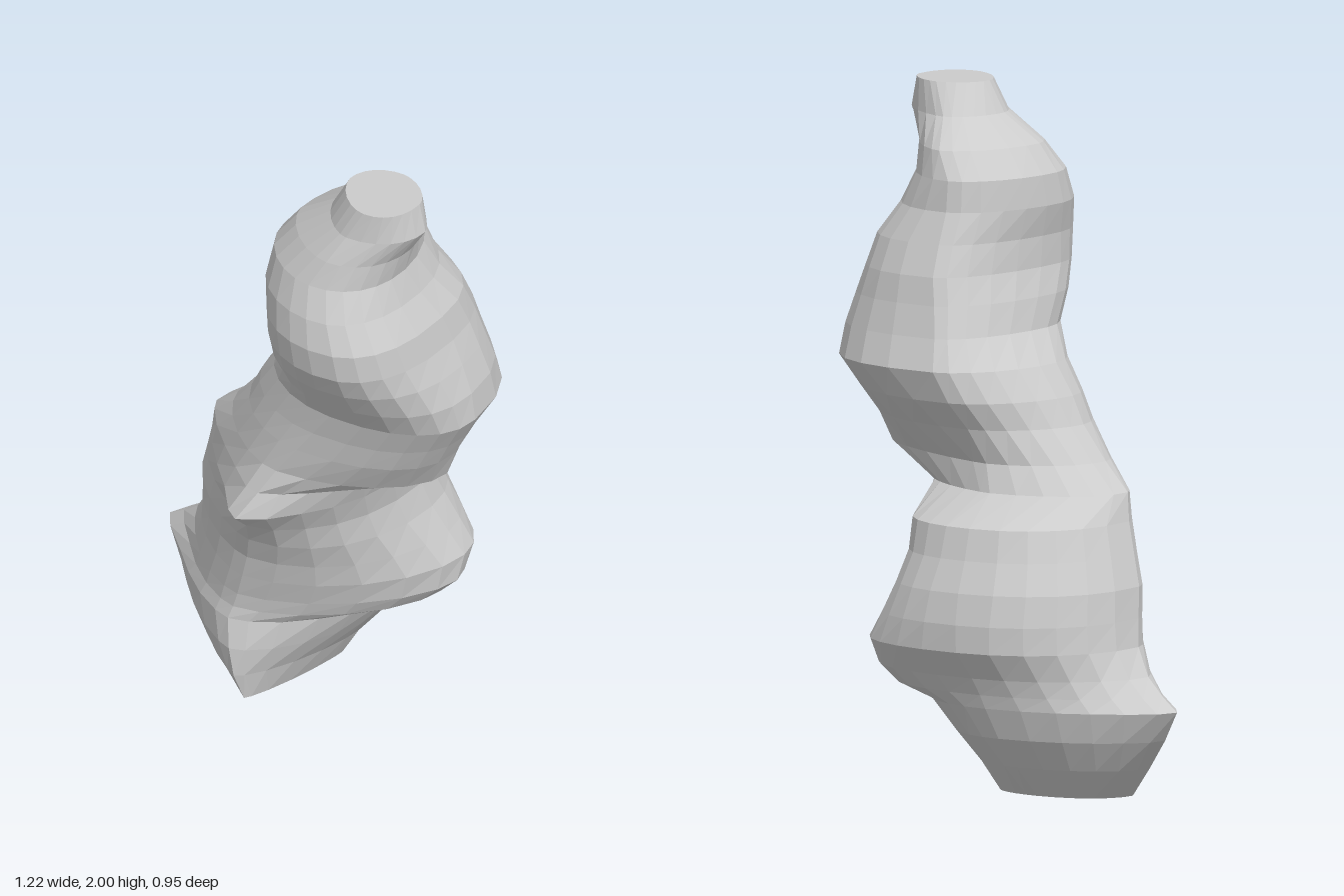
import * as THREE from 'three';

// Outline by height: y, xMin, xMax, zMin, zMax
const SPANS = [
  [0, -0.41, -0.02, -0.23, 0.18], [0.09, -0.48, 0.03, -0.30, 0.21],
  [0.18, -0.52, 0.10, -0.36, 0.21], [0.27, -0.54, 0.17, -0.39, 0.19],
  [0.31, -0.50, 0.29, -0.40, 0.18], [0.36, -0.47, 0.34, -0.42, 0.18],
  [0.44, -0.44, 0.35, -0.47, 0.19], [0.52, -0.43, 0.31, -0.47, 0.20],
  [0.61, -0.42, 0.27, -0.45, 0.23], [0.70, -0.39, 0.25, -0.41, 0.26],
  [0.79, -0.36, 0.26, -0.38, 0.31], [0.87, -0.34, 0.28, -0.22, 0.30],
  [0.95, -0.25, 0.48, -0.19, 0.30], [1.05, -0.17, 0.52, -0.22, 0.30],
  [1.13, -0.13, 0.56, -0.27, 0.30], [1.22, -0.07, 0.61, -0.29, 0.31],
  [1.31, 0.00, 0.60, -0.25, 0.37], [1.40, 0.01, 0.57, -0.22, 0.43],
  [1.48, 0.03, 0.54, -0.20, 0.47], [1.57, 0.03, 0.52, -0.16, 0.48],
  [1.66, 0.01, 0.47, -0.12, 0.46], [1.75, 0.02, 0.44, -0.11, 0.42],
  [1.83, 0.08, 0.46, -0.07, 0.39], [1.91, 0.20, 0.51, 0.04, 0.35],
  [2, 0.25, 0.49, 0.10, 0.33],
];

// Where each extreme sits: y, z of xMin, z of xMax, x of zMin, x of zMax
const EXTREMES = [
  [0, -0.08, -0.17, -0.18, -0.13], [0.27, -0.15, -0.20, -0.10, -0.18],
  [0.44, -0.10, -0.25, -0.05, -0.13], [0.79, -0.02, -0.15, -0.04, -0.03],
  [0.95, 0.03, 0.04, 0.02, 0.06], [1.22, 0.05, 0.09, 0.14, 0.25],
  [1.50, 0.25, 0.10, 0.20, 0.30], [1.75, 0.20, 0.20, 0.20, 0.25],
  [2, 0.20, 0.20, 0.37, 0.38],
];

// Corner shape by height (1 round, 2 straight, below 1 boxy):
// y, left front, right front, right back, left back
const CORNERS = [
  [0, 1.6, 1.9, 1.0, 1.0], [0.18, 1.3, 1.5, 1.0, 1.0],
  [0.36, 1.3, 1.3, 1.0, 0.9], [0.61, 1.0, 1.4, 0.9, 0.85],
  [0.79, 1.0, 1.5, 0.9, 0.95], [0.87, 1.1, 1.5, 1.0, 1.5],
  [0.95, 1.1, 1.3, 1.0, 1.6], [1.05, 0.9, 1.1, 1.1, 1.1],
  [1.22, 0.9, 1.0, 1.1, 0.8], [1.57, 0.8, 1.0, 1.1, 0.8],
  [1.75, 0.9, 1.1, 1.1, 1.05], [1.87, 1.0, 1.3, 1.1, 1.5],
  [2, 0.9, 1.2, 1.0, 1.2],
];

// Local knobs: centre, push, radius
const KNOBS = [
  { at: new THREE.Vector3(-0.54, 0.27, -0.16), push: new THREE.Vector3(-0.07, 0, -0.01), r: 0.11 },
  { at: new THREE.Vector3(-0.03, 0.79, 0.31), push: new THREE.Vector3(0, 0, 0.07), r: 0.1 },
];

const SIDES = 24;

// Linear lookup in a table keyed by height
function rowAt(table, y) {
  const i = Math.max(1, table.findIndex((e) => e[0] >= y));
  const a = table[i - 1], b = table[i];
  const t = (y - a[0]) / (b[0] - a[0]);
  return a.map((v, k) => THREE.MathUtils.lerp(v, b[k], t));
}

// One closed ring made of four corner arcs joining the extreme points
function ringPoints([y, x0, x1, z0, z1]) {
  const [, zl, zr, xb, xf] = rowAt(EXTREMES, y);
  const corners = rowAt(CORNERS, y);
  const ring = [];
  for (let j = 0; j < SIDES; j++) {
    const angle = (j / SIDES) * Math.PI * 2;
    const power = corners[1 + Math.floor((j * 4) / SIDES)];
    const bend = (v) => (Math.abs(v) < 1e-6 ? 0 : Math.sign(v) * Math.abs(v) ** power);
    const c = bend(Math.cos(angle)), s = bend(Math.sin(angle));
    const cx = s > 0 ? xf : xb, cz = c > 0 ? zr : zl;
    const p = new THREE.Vector3(
      cx + (c > 0 ? x1 - cx : cx - x0) * c, y,
      cz + (s > 0 ? z1 - cz : cz - z0) * s);
    for (const k of KNOBS) {
      const d = p.distanceTo(k.at) / k.r;
      p.addScaledVector(k.push, Math.exp(-d * d));
    }
    ring.push(p);
  }
  return ring;
}

function trunkGeometry() {
  const rings = SPANS.map(ringPoints);
  const points = rings.flat();
  const index = [];
  for (let i = 0; i < rings.length - 1; i++) {
    for (let j = 0; j < SIDES; j++) {
      const n = (j + 1) % SIDES;
      const a = i * SIDES + j, c = i * SIDES + n;
      index.push(a, a + SIDES, c, a + SIDES, c + SIDES, c);
    }
  }
  // Flat cut ends
  for (const top of [false, true]) {
    const start = top ? (rings.length - 1) * SIDES : 0;
    const ring = top ? rings[rings.length - 1] : rings[0];
    const centre = ring.reduce((s, p) => s.add(p), new THREE.Vector3()).divideScalar(SIDES);
    const m = points.push(centre) - 1;
    for (let j = 0; j < SIDES; j++) {
      const a = start + j, b = start + (j + 1) % SIDES;
      index.push(m, top ? b : a, top ? a : b);
    }
  }
  const geometry = new THREE.BufferGeometry().setFromPoints(points);
  geometry.setIndex(index);
  geometry.computeVertexNormals();
  return geometry;
}

export function createModel() {
  const group = new THREE.Group();
  group.name = 'gnarledColumn';
  const material = new THREE.MeshStandardMaterial({ color: 0xcccccc, flatShading: true });
  const trunk = new THREE.Mesh(trunkGeometry(), material);
  trunk.name = 'lumpyTrunk';
  group.add(trunk);
  return group;
}
